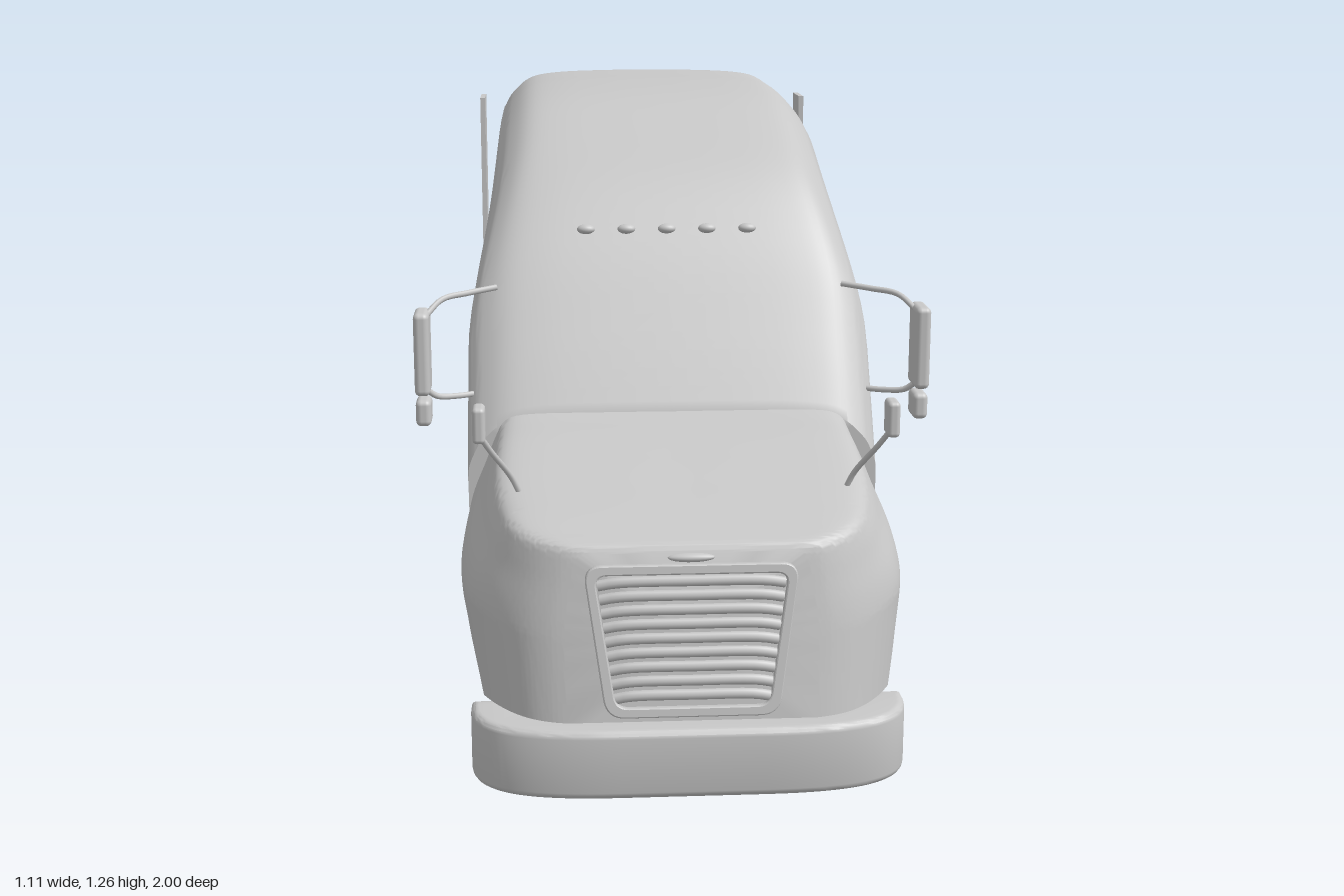
import * as THREE from 'three';
import { toCreasedNormals } from 'three/addons/utils/BufferGeometryUtils.js';
import { RoundedBoxGeometry } from 'three/addons/geometries/RoundedBoxGeometry.js';

const V2 = (x, y) => new THREE.Vector2(x, y);
const V3 = (x, y, z) => new THREE.Vector3(x, y, z);
const smooth = THREE.MathUtils.smoothstep;

// Skin a row of half cross-sections (bottom centre to top centre), mirrored, with end caps.
function loft(halves) {
  const rings = halves.map(h => [...h, ...h.slice(1, -1).reverse().map(p => V3(-p.x, p.y, p.z))]);
  const n = rings[0].length, pos = [], idx = [];
  rings.forEach(r => r.forEach(p => pos.push(p.x, p.y, p.z)));
  for (let i = 0; i < rings.length - 1; i++) {
    for (let j = 0; j < n; j++) {
      const a = i * n + j, b = i * n + (j + 1) % n;
      idx.push(a, a + n, b, b, a + n, b + n);
    }
  }
  [0, rings.length - 1].forEach((k, end) => {
    const c = pos.length / 3, h = halves[k], lo = h[0], hi = h[h.length - 1];
    pos.push(0, (lo.y + hi.y) / 2, (lo.z + hi.z) / 2);
    for (let j = 0; j < n; j++) {
      const a = k * n + j, b = k * n + (j + 1) % n;
      idx.push(c, end ? b : a, end ? a : b);
    }
  });
  const g = new THREE.BufferGeometry();
  g.setAttribute('position', new THREE.Float32BufferAttribute(pos, 3));
  g.setIndex(idx);
  return toCreasedNormals(g, 0.65);
}

// Cab: tall sleeper whose sides lean in above the doors
const sideX = y => 0.445 - 0.06 * smooth(y, 0.72, 1.1);
function cabSection(z, t, inset = 0) {
  const shoulder = t - 0.128, X = sideX(shoulder), yb = 0.165 + inset;
  const pts = [0, 0.2, 0.4, 0.6, 0.8, 1].map(f => {
    const y = yb + (shoulder - yb) * f;
    return V2(sideX(y), y);
  });
  [[0.012, 0.09], [0.032, 0.058], [0.078, 0.02], [0.15, 0.006], [0.27, 0.001]]
    .forEach(([dx, dy]) => pts.push(V2(X - dx, t - dy)));
  pts.push(V2(0, t));
  const curve = new THREE.SplineCurve(pts).getPoints(44);
  return [V2(0, yb), V2(0.3, yb), ...curve]
    .map(p => V3(Math.max(0, p.x - (p.x > 0.2 ? inset : 0)), p.y, z));
}
function cabGeometry() {
  const roof = new THREE.SplineCurve([[0.39, 0.612], [0.294, 0.77], [0.17, 0.957], [0.037, 1.096],
    [-0.123, 1.187], [-0.283, 1.235], [-0.513, 1.255], [-0.7, 1.256], [-0.87, 1.256]]
    .map(p => V2(...p))).getPoints(40);
  return loft([...roof.map(p => cabSection(p.x, p.y)),
    cabSection(-0.884, 1.251, 0.003), cabSection(-0.89, 1.241, 0.01)]);
}

// Hood: flared fenders, sloping nose and wheel arches cut from below
function hoodSection(z, w, t) {
  const yb = 0.145, nose = smooth(z, 0.74, 0.9), lean = 0.055 * nose;
  const q = 1 - 0.5 * nose;
  const d = z + lean - 0.6;
  const ya = Math.max(yb, 0.065 + Math.sqrt(Math.max(0, 0.225 ** 2 - d * d)));
  const xin = Math.min(0.27, w * 0.8);
  const pts = [V2(w * 0.985, ya)];
  [[1, 0.42], [1, 0.52], [0.97, 0.64], [0.91, 0.78], [0.86, 0.9], [0.81, 0.97], [0.68, 0.995], [0.35, 1], [0, 1]]
    .forEach(([fx, f]) => pts.push(V2(fx ? w * (1 - (1 - fx) * q) : 0, yb + (t - yb) * f)));
  const curve = new THREE.SplineCurve(pts).getPoints(36);
  return [V2(0, yb), V2(xin, yb), V2(xin, ya), ...curve]
    .map(p => V3(p.x, p.y, z + lean * (t - p.y) / (t - yb)));
}
function hoodGeometry() {
  const path = new THREE.CatmullRomCurve3([[0.907, 0.245, 0.466], [0.899, 0.275, 0.479], [0.882, 0.315, 0.487],
    [0.855, 0.355, 0.495], [0.815, 0.397, 0.508], [0.77, 0.427, 0.521], [0.7, 0.445, 0.54], [0.6, 0.453, 0.567],
    [0.5, 0.451, 0.592], [0.42, 0.447, 0.606], [0.36, 0.444, 0.62]].map(p => V3(...p)));
  return loft(path.getPoints(90).map(p => hoodSection(p.x, p.y, p.z)));
}

// Bumper: a curved band seen in plan, extruded upwards
function bumperGeometry() {
  const s = new THREE.Shape();
  s.moveTo(0.415, 0.835);
  s.bezierCurveTo(0.42, 0.93, 0.36, 0.985, 0.14, 0.985);
  s.lineTo(-0.14, 0.985);
  s.bezierCurveTo(-0.36, 0.985, -0.42, 0.93, -0.415, 0.835);
  s.lineTo(-0.34, 0.835);
  s.bezierCurveTo(-0.33, 0.89, -0.28, 0.91, -0.14, 0.91);
  s.lineTo(0.14, 0.91);
  s.bezierCurveTo(0.28, 0.91, 0.33, 0.89, 0.34, 0.835);
  const g = new THREE.ExtrudeGeometry(s, { depth: 0.11, bevelSize: 0.015, bevelThickness: 0.015, bevelSegments: 4, curveSegments: 20 });
  g.rotateX(Math.PI / 2).translate(0, 0.125, 0);
  return toCreasedNormals(g, 0.7);
}

// Rounded trapezoid outline for the grille
function trapezoid(Path, top, bottom, h, r) {
  const p = new Path();
  p.moveTo(-bottom + r, -h);
  p.lineTo(bottom - r, -h);
  p.quadraticCurveTo(bottom, -h, bottom + r * 0.14, -h + r);
  p.lineTo(top - r * 0.14, h - r);
  p.quadraticCurveTo(top, h, top - r, h);
  p.lineTo(-top + r, h);
  p.quadraticCurveTo(-top, h, -top + r * 0.14, h - r);
  p.lineTo(-bottom - r * 0.14, -h + r);
  p.quadraticCurveTo(-bottom, -h, -bottom + r, -h);
  return p;
}

export function createModel() {
  const model = new THREE.Group();
  model.name = 'truckCab';
  const grey = new THREE.MeshStandardMaterial({ color: 0xc8c8c8 });
  grey.name = 'lightGrey';
  const add = (name, geo, x = 0, y = 0, z = 0, parent = model) => {
    const m = new THREE.Mesh(geo, grey);
    m.name = name;
    m.position.set(x, y, z);
    parent.add(m);
    return m;
  };
  const tube = (pts, r) => new THREE.TubeGeometry(new THREE.CatmullRomCurve3(pts), 16, r, 8);

  add('cab', cabGeometry());
  add('hood', hoodGeometry());
  add('bumper', bumperGeometry());

  // Grille with surround and bowed slats, leaning back with the nose
  const grille = new THREE.Group();
  grille.name = 'grille';
  grille.position.set(0, 0.3, 0.934);
  grille.rotation.x = -0.165;
  model.add(grille);
  const frame = trapezoid(THREE.Shape, 0.206, 0.165, 0.145, 0.035);
  frame.holes.push(trapezoid(THREE.Path, 0.19, 0.151, 0.131, 0.028));
  add('grilleFrame', new THREE.ExtrudeGeometry(frame,
    { depth: 0.014, bevelSize: 0.003, bevelThickness: 0.004, bevelSegments: 2 }), 0, 0, -0.002, grille);
  for (let i = 0; i < 9; i++) {
    const y = -0.108 + i * 0.0275, w = 0.165 + y * 0.135;
    const slat = add('grilleSlat', tube([V3(-w, -0.004, 0), V3(-w * 0.8, 0.002, 0.006), V3(0, 0.004, 0.01),
      V3(w * 0.8, 0.002, 0.006), V3(w, -0.004, 0)], 0.0105), 0, y, 0.003, grille);
    slat.scale.z = 0.9;
  }
  const ball = new THREE.SphereGeometry(1, 20, 12);
  add('noseOval', ball, 0, 0.457, 0.908).scale.set(0.046, 0.009, 0.012);

  // Roof marker lights
  for (let i = -2; i <= 2; i++) {
    add('markerLight', ball, i * 0.0905, 0.977, 0.16).scale.set(0.02, 0.011, 0.014);
  }

  // Parts mirrored on both sides
  for (const s of [1, -1]) {
    const side = s > 0 ? 'left' : 'right';
    const P = (x, y, z) => V3(s * x, y, z);
    add(side + 'Skirt', new THREE.BoxGeometry(0.045, 0.14, 1.17), s * 0.4125, 0.1, -0.215);
    for (const y of [0.08, 0.165]) {
      add(side + 'SkirtTrim', new THREE.BoxGeometry(0.022, 0.008, 0.22), s * 0.438, y, 0.222);
    }
    add(side + 'RearFairing', new THREE.BoxGeometry(0.013, 0.91, 0.12), s * 0.439, 0.725, -0.94);

    // Door mirrors on two arms
    add(side + 'Mirror', new RoundedBoxGeometry(0.033, 0.18, 0.088, 4, 0.012), s * 0.537, 0.75, 0.377);
    add(side + 'LowerMirror', new RoundedBoxGeometry(0.033, 0.058, 0.066, 4, 0.012), s * 0.537, 0.62, 0.377);
    add(side + 'UpperMirrorArm', tube([P(0.38, 0.868, 0.27), P(0.44, 0.862, 0.3), P(0.495, 0.855, 0.335),
      P(0.53, 0.825, 0.37)], 0.0065));
    add(side + 'LowerMirrorArm', tube([P(0.41, 0.64, 0.3), P(0.47, 0.641, 0.335), P(0.51, 0.648, 0.36),
      P(0.535, 0.67, 0.375)], 0.0065));

    // Fender mirrors on posts
    add(side + 'HoodMirror', new RoundedBoxGeometry(0.025, 0.072, 0.052, 4, 0.009), s * 0.405, 0.695, 0.782);
    add(side + 'HoodMirrorPost', tube([P(0.328, 0.525, 0.7), P(0.345, 0.565, 0.712), P(0.383, 0.63, 0.755),
      P(0.405, 0.672, 0.782)], 0.006));
  }
  return model;
}
